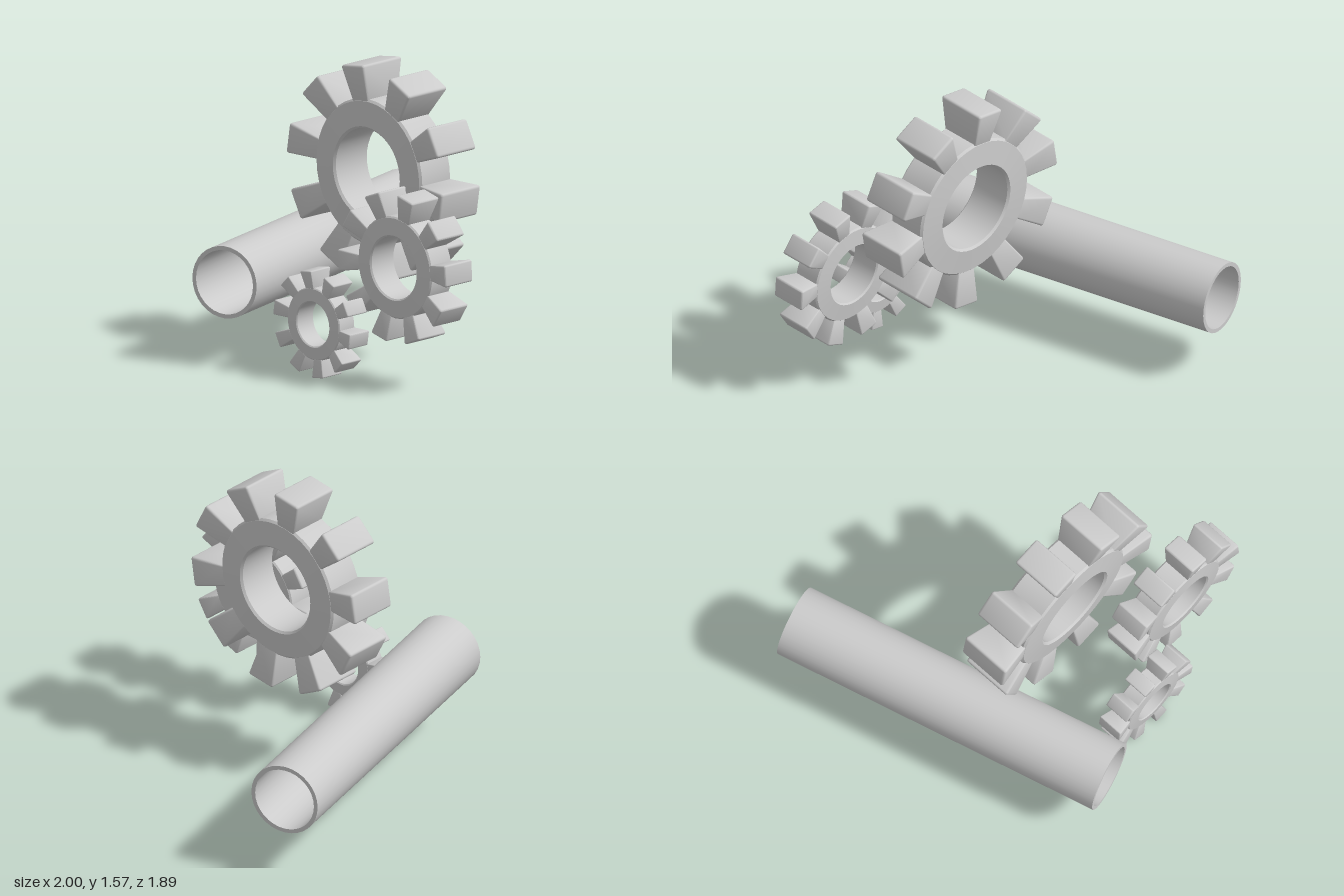
import * as THREE from 'three';
import { toCreasedNormals } from 'three/addons/utils/BufferGeometryUtils.js';
import { RoundedBoxGeometry } from 'three/addons/geometries/RoundedBoxGeometry.js';

const grey = new THREE.MeshStandardMaterial({ color: 0xcccccc });
const TEETH = 10;

function part(name, geometry) {
  const mesh = new THREE.Mesh(geometry, grey);
  mesh.name = name;
  return mesh;
}

// Closed ring turned about z from a (radius, z) outline
function ring(outline, sides, crease) {
  const points = [...outline, outline[0]].map(([r, z]) => new THREE.Vector2(r, z));
  const geometry = new THREE.LatheGeometry(points, sides);
  geometry.rotateX(Math.PI / 2);
  return toCreasedNormals(geometry, crease);
}

// Tooth along +x that flares outward in both width and depth
function toothGeometry(root, tip, half) {
  const inner = root * 0.95;
  const length = tip - inner;
  const width = tip * 0.29;
  const geometry = new RoundedBoxGeometry(length, width, half * 2, 2, tip * 0.025);
  geometry.translate(inner + length / 2, 0, 0);
  const p = geometry.attributes.position;
  for (let i = 0; i < p.count; i++) {
    const t = THREE.MathUtils.clamp((p.getX(i) - root) / (tip * 0.96 - root), 0, 1);
    p.setY(i, p.getY(i) * THREE.MathUtils.lerp(0.72, 1, t));
    p.setZ(i, p.getZ(i) * THREE.MathUtils.lerp(0.79, 1, t));
  }
  return toCreasedNormals(geometry, 0.6);
}

function gear({ name, at, hole, root, tip, half, phase }) {
  const group = new THREE.Group();
  group.name = name;
  group.position.set(...at);
  const b = tip * 0.02;
  const rim = half * 0.87, edge = half * 0.79;
  // Gear body with softened edges
  group.add(part('gearBody', ring([
    [root, -edge + b], [root, edge - b], [root - b, edge],
    [hole + b, rim], [hole, rim - b], [hole, -rim + b],
    [hole + b, -rim], [root - b, -edge],
  ], 40, 0.6)));
  // Teeth
  const tooth = toothGeometry(root, tip, half);
  for (let i = 0; i < TEETH; i++) {
    const mesh = part('gearTooth', tooth);
    mesh.rotation.z = THREE.MathUtils.degToRad(phase + i * 360 / TEETH);
    group.add(mesh);
  }
  return group;
}

export function createModel() {
  const model = new THREE.Group();
  model.name = 'gearsAndPipe';

  // Three gears of falling size
  model.add(
    gear({ name: 'largeGear', at: [0.08, 1.0, 0.143], hole: 0.237, root: 0.392, tip: 0.574, half: 0.143, phase: 27 }),
    gear({ name: 'mediumGear', at: [0.593, 0.64, 0.49], hole: 0.167, root: 0.273, tip: 0.4, half: 0.1, phase: 4 }),
    gear({ name: 'smallGear', at: [0.17, 0.29, 0.687], hole: 0.119, root: 0.194, tip: 0.284, half: 0.072, phase: 27 }),
  );

  // Hollow pipe lying at a slant
  const R = 0.194, r = 0.172, h = 0.927;
  const pipe = part('pipe', ring([
    [R, -h], [R, h], [r, h], [r, -h],
  ], 32, 0.6));
  pipe.position.set(-0.575, 0.45, 0);
  pipe.rotation.y = THREE.MathUtils.degToRad(15);
  model.add(pipe);

  return model;
}
